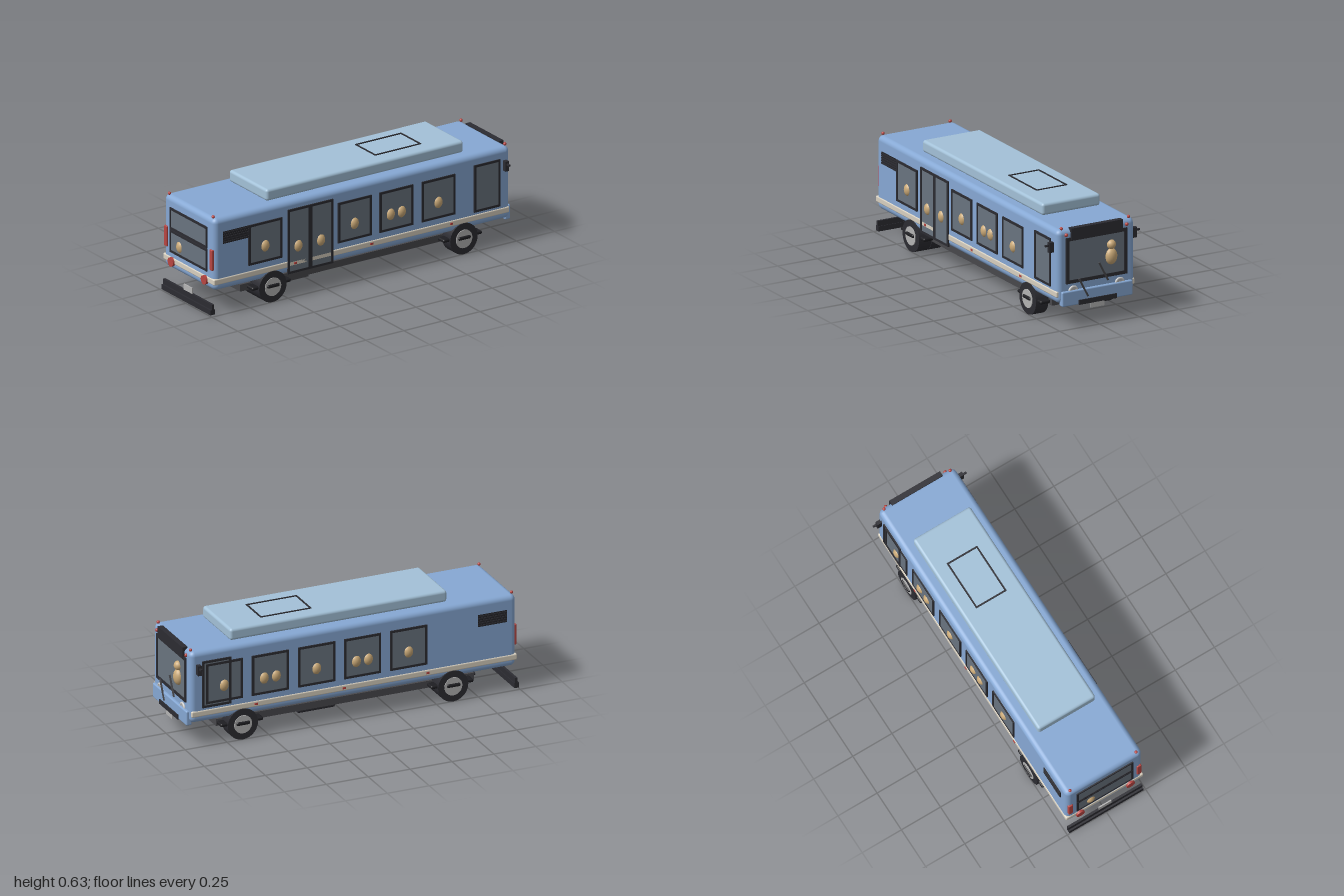
import * as THREE from 'three';
import { RoundedBoxGeometry } from 'three/addons/geometries/RoundedBoxGeometry.js';

const mat = (color) => new THREE.MeshStandardMaterial({ color });
const M = {
  body: mat(0x86a8d4), roof: mat(0xa3c1d8), glass: mat(0x69747f), dark: mat(0x2c2c32),
  black: mat(0x1e1e22), grey: mat(0x48484c), cream: mat(0xd8d0c0), skin: mat(0xcbaa78),
  red: mat(0xb84642), silver: mat(0xb4b4b4), white: mat(0xe4e4e4),
};

export function createModel() {
  const bus = new THREE.Group();
  bus.name = 'bus';

  const add = (name, geo, m, x, y, z, parent = bus) => {
    const mesh = new THREE.Mesh(geo, m);
    mesh.name = name;
    mesh.position.set(x, y, z);
    parent.add(mesh);
    return mesh;
  };
  // Boxes given by their limits on each axis
  const box = (name, m, [x0, x1], [y0, y1], [z0, z1], r = 0) => {
    const s = [x1 - x0, y1 - y0, z1 - z0];
    const geo = r ? new RoundedBoxGeometry(...s, 3, r) : new THREE.BoxGeometry(...s);
    return add(name, geo, m, (x0 + x1) / 2, (y0 + y1) / 2, (z0 + z1) / 2);
  };
  const ball = (name, m, x, y, z, rx, ry = rx, rz = rx) =>
    add(name, new THREE.SphereGeometry(1, 20, 14), m, x, y, z).scale.set(rx, ry, rz);

  // Rectangular frame in the XY plane, with an optional pane
  const frame = (name, w, h, border, depth, pane = true) => {
    const g = new THREE.Group();
    g.name = name;
    const rect = (C, a, b) => new C([[-a, -b], [a, -b], [a, b], [-a, b]].map((p) => new THREE.Vector2(...p)));
    const shape = rect(THREE.Shape, w / 2, h / 2);
    shape.holes.push(rect(THREE.Path, w / 2 - border, h / 2 - border));
    add(name + 'Frame', new THREE.ExtrudeGeometry(shape, { depth, bevelEnabled: false }), M.dark, 0, 0, 0, g);
    if (pane) add(name + 'Glass', new THREE.BoxGeometry(w - border, h - border, depth * 0.7), M.glass, 0, 0, depth * 0.35, g);
    bus.add(g);
    return g;
  };
  const sideWindow = (name, side, x, y, w, h) => {
    const g = frame(name, w, h, 0.013, 0.01);
    g.position.set(x, y, side * 0.24);
    if (side < 0) g.rotation.y = Math.PI;
  };

  // Body shell and roof unit
  box('body', M.body, [-0.98, 0.965], [0.14, 0.56], [-0.243, 0.243], 0.03);
  box('roofUnit', M.roof, [-0.595, 0.7], [0.562, 0.63], [-0.183, 0.183], 0.016);
  const hatch = frame('roofHatch', 0.305, 0.195, 0.009, 0.006, false);
  hatch.rotation.x = -Math.PI / 2;
  hatch.position.set(0.33, 0.628, -0.004);

  // Cream band around the body
  box('bodyBand', M.cream, [-0.984, 0.958], [0.176, 0.212], [-0.247, 0.247], 0.008);

  // Side windows, doors and passengers
  const passenger = (x, y, side) => ball('passenger', M.skin, x, y, side * 0.235, 0.03, 0.037, 0.027);
  const rows = [
    [1, -0.647, 1], [1, -0.06, 1], [1, 0.213, 2], [1, 0.49, 1],
    [-1, -0.336, 1], [-1, -0.06, 2], [-1, 0.213, 1], [-1, 0.49, 2], [-1, 0.765, 1],
  ];
  for (const [side, x, count] of rows) {
    sideWindow('sideWindow', side, x, 0.363, 0.22, 0.235);
    if (count === 1) passenger(x, 0.338, side);
    else for (const d of [-0.036, 0.036]) passenger(x + d, 0.338, side);
  }
  for (const x of [-0.426, -0.277]) {
    sideWindow('doorLeaf', 1, x, 0.326, 0.149, 0.374);
    passenger(x - 0.004, 0.29, 1);
  }
  for (const side of [1, -1]) {
    sideWindow('frontSideWindow', side, 0.81, 0.363, 0.172, 0.275);

    // Engine vent with slats
    const zr = (a, b) => (side > 0 ? [a, b] : [-b, -a]);
    box('vent', M.black, [-0.923, -0.75], [0.41, 0.48], zr(0.235, 0.246));
    for (let i = 0; i < 5; i++)
      box('ventSlat', M.dark, [-0.92, -0.753], [0.414 + i * 0.0135, 0.422 + i * 0.0135], zr(0.24, 0.25));

    // Side markers
    for (const x of [-0.45, 0.05, 0.575])
      box('sideMarker', M.red, [x - 0.009, x + 0.009], [0.189, 0.2], zr(0.24, 0.251));

    // Mirror
    box('mirror', M.dark, [0.912, 0.934], [0.432, 0.49], zr(0.249, 0.276));
    box('mirrorArm', M.dark, [0.918, 0.928], [0.467, 0.477], zr(0.235, 0.298));

    // Roof corner lamps, front lamps and tail lamps
    for (const x of [-0.965, 0.95]) ball('cornerLamp', M.red, x, 0.566, side * 0.211, 0.009);
    ball('frontLamp', M.red, 0.967, 0.53, side * 0.19, 0.01);
    box('tailLamp', M.red, [-0.988, -0.965], [0.26, 0.38], zr(0.205, 0.232), 0.005);
    const stop = add('stopLamp', new THREE.CylinderGeometry(0.026, 0.026, 0.02, 24), M.red, -0.985, 0.187, side * 0.16);
    stop.rotation.z = Math.PI / 2;

    // Headlight behind the bumper
    const rim = add('headlightRim', new THREE.TorusGeometry(0.024, 0.007, 10, 28), M.white, 0.967, 0.205, side * 0.146);
    rim.rotation.y = Math.PI / 2;
    const lens = add('headlightLens', new THREE.CylinderGeometry(0.024, 0.024, 0.012, 24), M.silver, 0.964, 0.205, side * 0.146);
    lens.rotation.z = Math.PI / 2;
  }

  // Windscreen, sign box and wipers
  const screen = frame('windscreen', 0.384, 0.262, 0.019, 0.012);
  screen.rotation.y = Math.PI / 2;
  screen.position.set(0.96, 0.381, 0);
  box('signBox', M.dark, [0.945, 0.976], [0.497, 0.565], [-0.162, 0.162]);
  for (const [y, z] of [[0.22, 0.09], [0.291, -0.036]]) {
    const wiper = add('wiper', new THREE.BoxGeometry(0.008, 0.122, 0.009), M.grey, 0.982, y, z);
    wiper.rotation.x = 0.48;
  }

  // Driver
  ball('driverBody', M.skin, 0.967, 0.365, -0.092, 0.029, 0.047, 0.036);
  ball('driverHead', M.skin, 0.967, 0.432, -0.092, 0.027);

  // Front bumper and plate
  box('frontBumper', M.body, [0.945, 0.98], [0.125, 0.21], [-0.222, 0.222], 0.008);
  box('bumperStrip', M.dark, [0.965, 0.986], [0.125, 0.152], [-0.119, 0.119]);
  box('frontPlate', M.silver, [0.974, 0.982], [0.096, 0.125], [-0.042, 0.042]);

  // Rear windows, rear passenger
  for (const [y, h] of [[0.437, 0.125], [0.305, 0.13]]) {
    const rear = frame('rearWindow', 0.36, h, 0.013, 0.01);
    rear.rotation.y = -Math.PI / 2;
    rear.position.set(-0.977, y, 0);
  }
  ball('rearPassenger', M.skin, -0.97, 0.293, -0.09, 0.027, 0.037, 0.03);

  // Low rear bumper with plate
  box('rearBumper', M.dark, [-1, -0.972], [0.006, 0.035], [-0.236, 0.236]);
  box('rearBumperUpper', M.dark, [-0.99, -0.976], [0.035, 0.065], [-0.236, 0.236]);
  box('rearPlate', M.silver, [-0.988, -0.981], [0.065, 0.098], [-0.04, 0.04]);

  // Chassis and underfloor units
  box('chassis', M.grey, [-0.76, 0.78], [0.07, 0.11], [-0.17, 0.17]);
  box('batteryBox', M.grey, [-0.455, -0.28], [0.038, 0.07], [0.063, 0.123]);
  box('fuelTank', M.dark, [0.055, 0.28], [0.043, 0.072], [-0.145, -0.015], 0.01);
  const exhaust = add('exhaust', new THREE.CylinderGeometry(0.01, 0.01, 0.3, 14), M.dark, -0.655, 0.063, -0.08);
  exhaust.rotation.z = Math.PI / 2;

  // Wheels, with inner twins at the rear
  const tyre = (x, z) => {
    const t = add('tyre', new THREE.CylinderGeometry(0.09, 0.09, 0.078, 36), M.dark, x, 0.09, z);
    t.rotation.x = Math.PI / 2;
  };
  for (const x of [-0.6, 0.655])
    for (const side of [1, -1]) {
      tyre(x, side * 0.211);
      if (x < 0) tyre(x, side * 0.13);
      const hub = add('hub', new THREE.CylinderGeometry(0.053, 0.053, 0.01, 28), M.silver, x, 0.09, side * 0.249);
      hub.rotation.x = Math.PI / 2;
      const guard = add('wheelGuard', new RoundedBoxGeometry(0.25, 0.02, 0.062, 3, 0.009), M.black, x, 0.097, side * 0.211);
      guard.scale.x = 1.02;
      add('hubBar', new RoundedBoxGeometry(0.08, 0.02, 0.02, 3, 0.008), M.black, x, 0.097, side * 0.253);
    }
  const axles = [-0.6, 0.655];
  for (const x of axles) {
    const axle = add('axle', new THREE.CylinderGeometry(0.014, 0.014, 0.4, 14), M.dark, x, 0.09, 0);
    axle.rotation.x = Math.PI / 2;
  }
  return bus;
}
